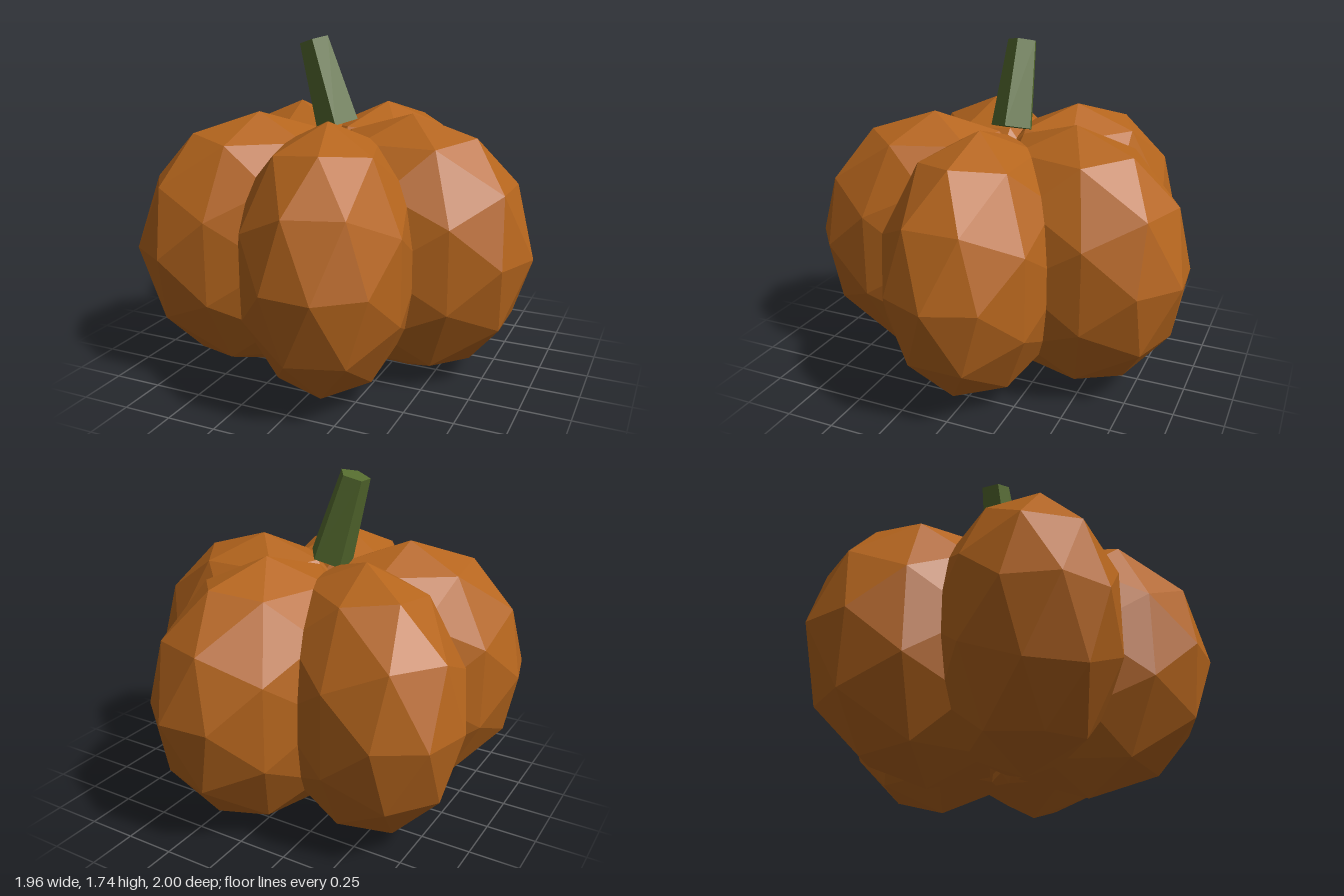
import * as THREE from 'three';

const LOBES = 5;
const AXIS_X = -0.07; // the five lobes radiate from this vertical axis

export function createModel() {
  const model = new THREE.Group();
  model.name = 'pumpkin';

  const rind = new THREE.MeshStandardMaterial({ color: 0xb5651d, flatShading: true });
  rind.name = 'orange rind';
  const green = new THREE.MeshStandardMaterial({ color: 0x556b2f, flatShading: true });
  green.name = 'olive stem';

  // Body: overlapping faceted ellipsoids, each pushed out along its own +x
  const lobeGeometry = new THREE.IcosahedronGeometry(1, 1);
  lobeGeometry.scale(0.64, 0.683, 0.457);
  lobeGeometry.translate(0.41, 0, 0);
  const body = new THREE.Group();
  body.name = 'body';
  body.position.set(AXIS_X, 0.687, 0);
  for (let i = 0; i < LOBES; i++) {
    const lobe = new THREE.Mesh(lobeGeometry, rind);
    lobe.name = `lobe${i + 1}`;
    lobe.rotation.y = (i / LOBES) * Math.PI * 2;
    body.add(lobe);
  }
  model.add(body);

  // Stem: tapered five-sided stalk leaning to -x, pivoting at its base
  const length = 0.45;
  const stemGeometry = new THREE.CylinderGeometry(0.079, 0.115, length, 5, 1, false, Math.PI / 2);
  stemGeometry.translate(0, length / 2, 0);
  const stem = new THREE.Mesh(stemGeometry, green);
  stem.name = 'stem';
  stem.position.set(AXIS_X, 1.29, 0);
  stem.rotation.z = 0.3;
  model.add(stem);

  return model;
}
